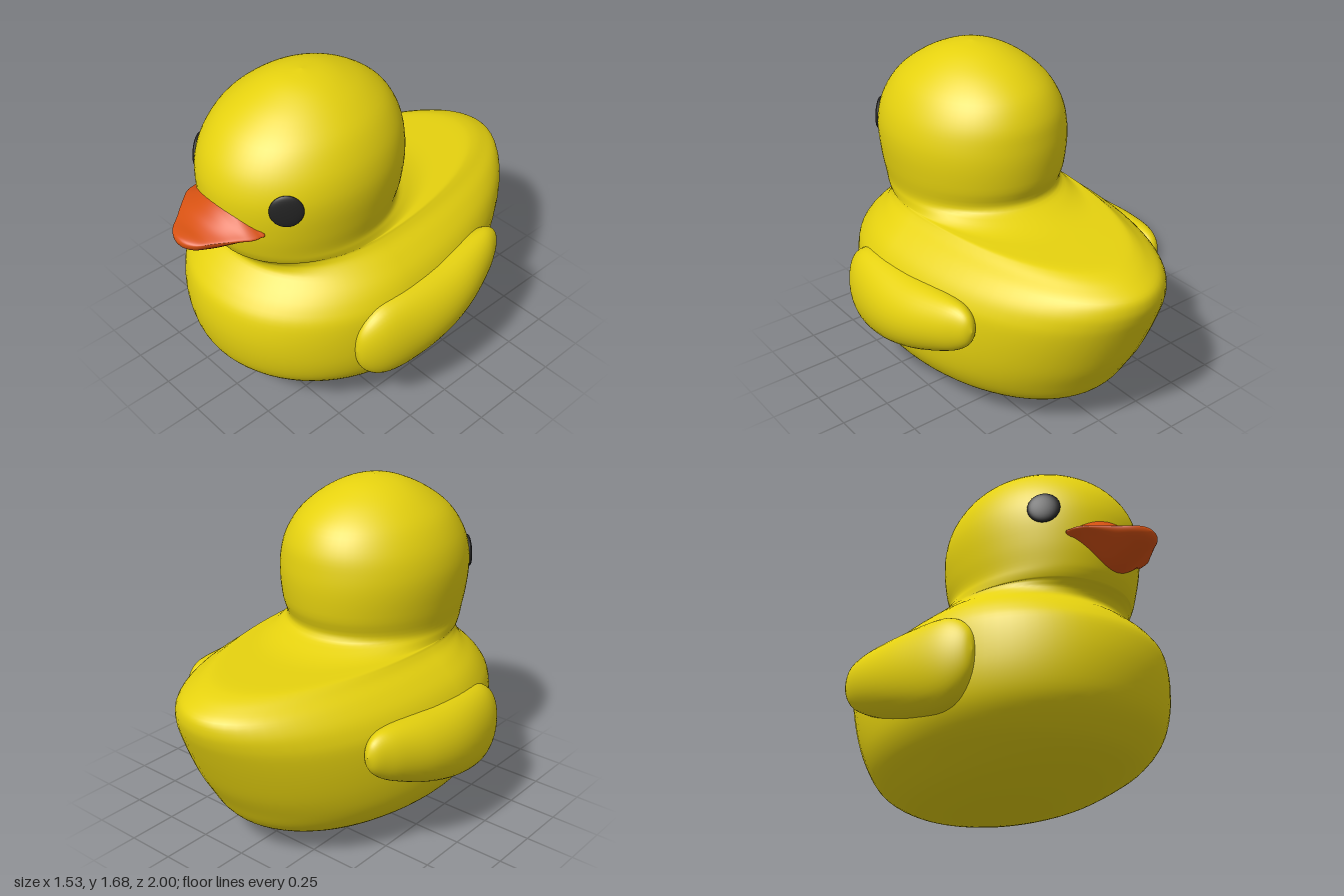
import * as THREE from 'three';

const yellow = new THREE.MeshStandardMaterial({ color: 0xe6d20f });
yellow.name = 'yellow rubber';
const orange = new THREE.MeshStandardMaterial({ color: 0xd85212 });
orange.name = 'orange beak';
const black = new THREE.MeshStandardMaterial({ color: 0x222222 });
black.name = 'black eye';

// Catmull-Rom interpolation of every column in a table of sections
function smooth(rows, div) {
  const out = [];
  const at = (i) => rows[Math.min(Math.max(i, 0), rows.length - 1)];
  for (let i = 0; i < rows.length - 1; i++) {
    for (let k = 0; k < div; k++) {
      const t = k / div;
      out.push(rows[i].map((b, c) => {
        const a = at(i - 1)[c], d = at(i + 1)[c], e = at(i + 2)[c];
        return b + 0.5 * t * (d - a + t * (2 * a - 5 * b + 4 * d - e + t * (3 * (b - d) + e - a)));
      }));
    }
  }
  out.push(rows[rows.length - 1]);
  return out;
}

// Skin a surface over closed rings; point(row, angle) gives [x, y, z]
function loft(name, rows, sides, point, material) {
  const positions = [], index = [];
  rows.forEach((row, r) => {
    for (let j = 0; j < sides; j++) {
      positions.push(...point(row, (j / sides) * Math.PI * 2));
      if (r === rows.length - 1) continue;
      const a = r * sides + j, b = r * sides + ((j + 1) % sides);
      index.push(a, a + sides, b, b, a + sides, b + sides);
    }
  });
  const geometry = new THREE.BufferGeometry();
  geometry.setAttribute('position', new THREE.Float32BufferAttribute(positions, 3));
  geometry.setIndex(index);
  geometry.computeVertexNormals();
  const mesh = new THREE.Mesh(geometry, material);
  mesh.name = name;
  return mesh;
}

// Body, neck and head in one skin: [y, front z, back z, half width, z of widest point]
const bodyRows = [
  [0, 0.0, -0.01, 0.0, 0.0],
  [0.012, 0.2, -0.25, 0.18, 0.0],
  [0.04, 0.36, -0.41, 0.31, 0.02],
  [0.08, 0.52, -0.55, 0.41, 0.04],
  [0.14, 0.67, -0.67, 0.5, 0.07],
  [0.2, 0.75, -0.735, 0.57, 0.1],
  [0.29, 0.825, -0.79, 0.625, 0.13],
  [0.4, 0.86, -0.855, 0.65, 0.15],
  [0.53, 0.872, -0.915, 0.655, 0.15],
  [0.65, 0.855, -0.965, 0.645, 0.15],
  [0.72, 0.81, -0.99, 0.62, 0.15],
  [0.78, 0.75, -1.0, 0.58, 0.15],
  [0.835, 0.69, -0.985, 0.52, 0.15],
  [0.875, 0.695, -0.92, 0.465, 0.16],
  [0.9, 0.72, -0.85, 0.44, 0.17],
  [0.912, 0.735, -0.77, 0.432, 0.18],
  [0.915, 0.738, -0.6, 0.43, 0.2],
  [0.92, 0.742, -0.42, 0.427, 0.22],
  [0.945, 0.755, -0.29, 0.423, 0.25],
  [0.985, 0.77, -0.205, 0.42, 0.27],
  [1.08, 0.79, -0.23, 0.436, 0.27],
  [1.2, 0.8, -0.243, 0.448, 0.27],
  [1.3, 0.79, -0.24, 0.442, 0.27],
  [1.4, 0.75, -0.222, 0.412, 0.27],
  [1.5, 0.67, -0.165, 0.352, 0.27],
  [1.58, 0.56, -0.065, 0.265, 0.26],
  [1.635, 0.45, 0.05, 0.175, 0.26],
  [1.665, 0.36, 0.15, 0.09, 0.26],
  [1.678, 0.26, 0.26, 0, 0.26],
];
function bodyPoint([y, front, back, half, mid], a) {
  const s = Math.sin(a);
  return [half * Math.cos(a), y, mid + (s > 0 ? front - mid : mid - back) * s];
}

// Wing: [z, top y, bottom y, half thickness, centre x]
const wingRows = [
  [0.48, 0.5, 0.5, 0, 0.605],
  [0.465, 0.585, 0.41, 0.035, 0.605],
  [0.42, 0.65, 0.335, 0.075, 0.605],
  [0.35, 0.695, 0.285, 0.11, 0.605],
  [0.25, 0.712, 0.27, 0.137, 0.605],
  [0.1, 0.718, 0.29, 0.16, 0.603],
  [-0.05, 0.722, 0.33, 0.163, 0.6],
  [-0.2, 0.73, 0.385, 0.143, 0.595],
  [-0.35, 0.735, 0.455, 0.1, 0.587],
  [-0.43, 0.725, 0.505, 0.067, 0.58],
  [-0.48, 0.69, 0.56, 0.035, 0.577],
  [-0.5, 0.63, 0.63, 0, 0.575],
];
const wingPoint = (side) => ([z, top, bottom, thick, x], a) => [
  side * (x + thick * Math.cos(a)),
  (top + bottom) / 2 + ((top - bottom) / 2) * Math.sin(side * a),
  z,
];

// Beak, tip to base: [z, half width, top y, bottom y, corner y, pinch of the corners]
const beakRows = [
  [1.0, 0, 1.093, 1.093, 1.093, 0],
  [0.99, 0.045, 1.112, 1.068, 1.095, 0],
  [0.96, 0.09, 1.12, 1.045, 1.1, 0.1],
  [0.91, 0.128, 1.126, 1.02, 1.108, 0.3],
  [0.86, 0.17, 1.148, 1.0, 1.115, 0.5],
  [0.81, 0.21, 1.2, 0.983, 1.12, 0.7],
  [0.77, 0.24, 1.25, 0.98, 1.12, 0.75],
  [0.73, 0.25, 1.258, 0.985, 1.12, 0.75],
  [0.7, 0.23, 1.24, 1.0, 1.12, 0.75],
  [0.68, 0, 1.12, 1.12, 1.12, 0.75],
];
function beakPoint([z, half, top, bottom, mid, pinch], a) {
  const s = Math.sin(a);
  const bell = s * (1 - pinch + pinch * Math.abs(s) ** 3);
  return [half * Math.cos(a), mid + (s > 0 ? top - mid : mid - bottom) * bell, z];
}

// Flattened dome lying on the side of the head
function makeEye(side) {
  const eye = new THREE.Mesh(new THREE.SphereGeometry(1, 32, 16), black);
  eye.name = side > 0 ? 'leftEye' : 'rightEye';
  eye.scale.set(0.078, 0.081, 0.018);
  eye.position.set(side * 0.318, 1.255, 0.635);
  eye.lookAt(side * (0.318 + 0.77), 1.255 + 0.08, 0.635 + 0.64);
  return eye;
}

export function createModel() {
  const duck = new THREE.Group();
  duck.name = 'bathDuck';
  duck.add(loft('bodyAndHead', smooth(bodyRows, 4), 72, bodyPoint, yellow));
  duck.add(loft('beak', smooth(beakRows, 4), 64, beakPoint, orange));
  for (const side of [1, -1]) {
    const name = side > 0 ? 'leftWing' : 'rightWing';
    duck.add(loft(name, smooth(wingRows, 4), 40, wingPoint(side), yellow));
    duck.add(makeEye(side));
  }
  return duck;
}
